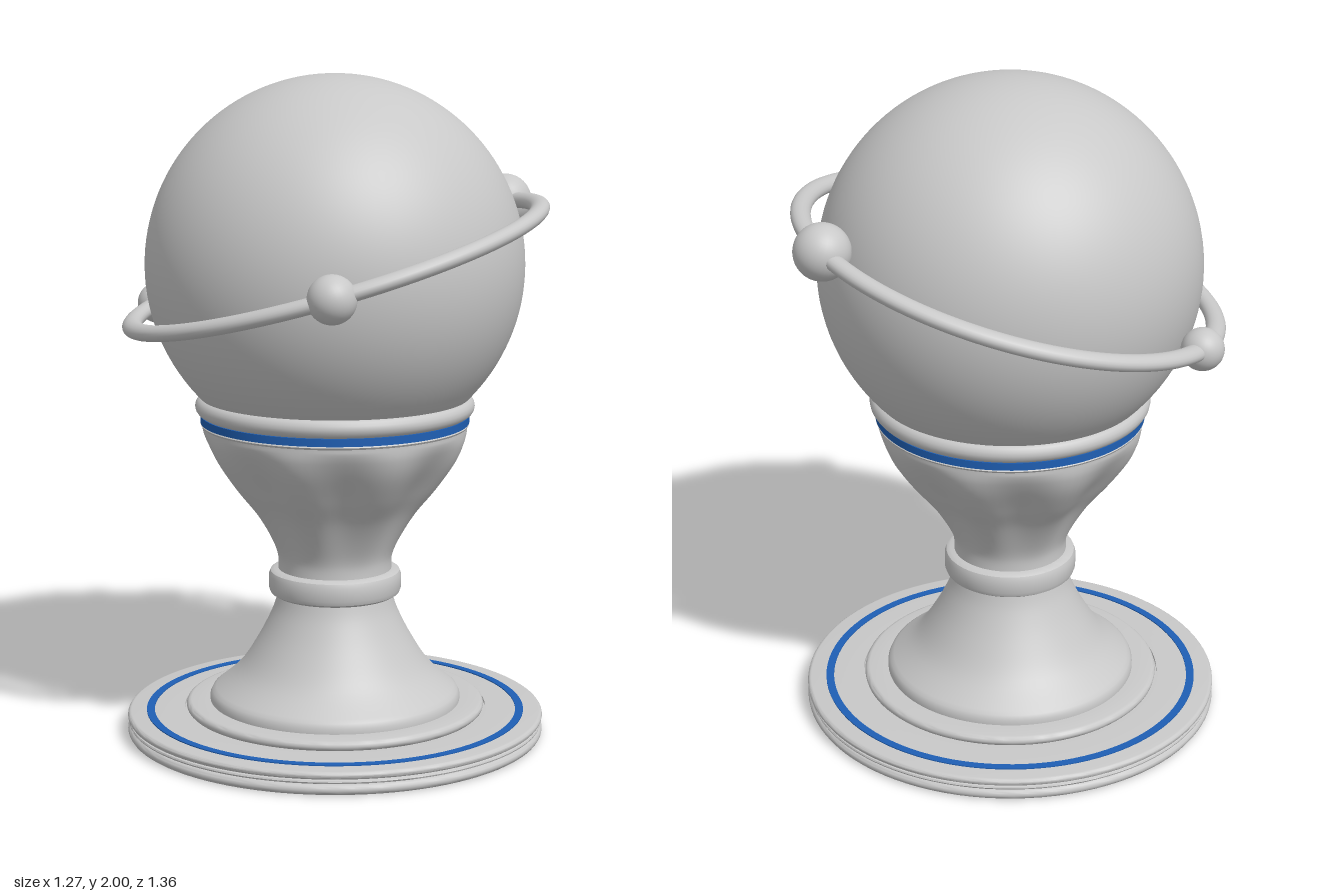
import * as THREE from 'three';
import { toCreasedNormals } from 'three/addons/utils/BufferGeometryUtils.js';

const stone = new THREE.MeshStandardMaterial({ color: 0xc8c8c8 });
stone.name = 'light grey';
const blue = new THREE.MeshStandardMaterial({ color: 0x1f5fb4 });
blue.name = 'blue';

const SEGMENTS = 96;
const vec = (points) => points.map(([r, y]) => new THREE.Vector2(r, y));

// Smooth curve through a few profile points
const smooth = (points, n = 20) =>
  new THREE.SplineCurve(vec(points)).getPoints(n).map((p) => [p.x, p.y]);

// Rounded rim of radius r between two heights, drawn upwards
function rim(r, y0, y1, n = 8) {
  const h = (y1 - y0) / 2;
  return Array.from({ length: n + 1 }, (_, i) => {
    const a = -Math.PI / 2 + (Math.PI * i) / n;
    return [r - h + h * Math.cos(a), (y0 + y1) / 2 + h * Math.sin(a)];
  });
}

const lathe = (points) => new THREE.LatheGeometry(vec(points), SEGMENTS);

export function createModel() {
  const model = new THREE.Group();
  model.name = 'globeTrophy';
  model.position.z = -0.02;

  function add(name, geometry, material = stone, parent = model) {
    const mesh = new THREE.Mesh(geometry, material);
    mesh.name = name;
    parent.add(mesh);
    return mesh;
  }
  const turned = (name, points, material) =>
    add(name, toCreasedNormals(lathe(points), 0.6), material);

  // Base and foot: hollow underneath, stepped rims, flared stem
  turned('base', [
    [0.001, 0.41], [0.15, 0.41],
    ...smooth([[0.155, 0.4], [0.21, 0.3], [0.275, 0.2], [0.36, 0.115]], 14),
    [0.365, 0.08], [0.46, 0.08], [0.46, 0.03], [0.54, 0.03], [0.54, 0.003],
    ...rim(0.635, 0, 0.032), [0.622, 0.034],
    ...rim(0.632, 0.034, 0.046, 4), [0.622, 0.047],
    ...rim(0.635, 0.047, 0.07),
    [0.455, 0.07], ...rim(0.455, 0.07, 0.1, 6),
    [0.382, 0.1], [0.382, 0.115],
    ...smooth([[0.375, 0.13], [0.295, 0.2], [0.235, 0.29], [0.19, 0.38], [0.172, 0.44]]),
  ]);
  turned('baseStripe', [[0.577, 0.069], [0.577, 0.073], [0.553, 0.073], [0.553, 0.069]], blue);

  // Stem collar
  turned('stemCollar', [
    [0.15, 0.43], [0.185, 0.43], [0.196, 0.437], [0.201, 0.45],
    [0.201, 0.49], [0.196, 0.503], [0.185, 0.51], [0.15, 0.51],
  ]);

  // Cup with eight soft flutes that fade out at both ends
  const cup = lathe(smooth([
    [0.172, 0.5], [0.174, 0.55], [0.2, 0.61], [0.25, 0.69],
    [0.315, 0.77], [0.37, 0.85], [0.395, 0.91], [0.398, 0.955],
  ], 40));
  const p = cup.attributes.position;
  for (let i = 0; i < p.count; i++) {
    const x = p.getX(i), y = p.getY(i), z = p.getZ(i);
    const t = THREE.MathUtils.clamp((y - 0.53) / 0.41, 0, 1);
    const depth = 0.085 * Math.sin(Math.PI * Math.pow(t, 1.3));
    const k = 1 - depth * (0.5 + 0.5 * Math.cos(8 * Math.atan2(x, z)));
    p.setXYZ(i, x * k, y, z * k);
  }
  add('flutedCup', toCreasedNormals(cup, 0.9));

  // Blue band and rounded lip that hold the globe
  turned('cupEdge', [[0.38, 0.95], [0.4, 0.952], [0.404, 0.958], [0.4, 0.963], [0.38, 0.964]]);
  turned('cupStripe', [[0.38, 0.962], [0.404, 0.962], [0.404, 0.985], [0.38, 0.985]], blue);
  turned('cupLip', [[0.36, 0.984], ...rim(0.42, 0.984, 1.042), [0.36, 1.042]]);

  // Globe
  add('globe', new THREE.SphereGeometry(0.565, 96, 64)).position.y = 1.435;

  // Tilted orbit ring carrying three balls
  const orbit = new THREE.Group();
  orbit.name = 'orbit';
  orbit.position.y = 1.435;
  orbit.rotation.z = 0.284;
  model.add(orbit);
  const R = 0.63;
  const ring = new THREE.TorusGeometry(R, 0.03, 20, 128);
  ring.rotateX(Math.PI / 2);
  ring.scale(1, 0.78, 1);
  add('orbitRing', ring, stone, orbit);
  for (const [name, degrees, r] of [
    ['leftBall', -25.2, 0.083], ['rightBall', -150, 0.063], ['frontBall', 95.5, 0.07],
  ]) {
    const a = THREE.MathUtils.degToRad(degrees);
    add(name, new THREE.SphereGeometry(r, 32, 24), stone, orbit)
      .position.set(R * Math.cos(a), 0, R * Math.sin(a));
  }

  return model;
}
